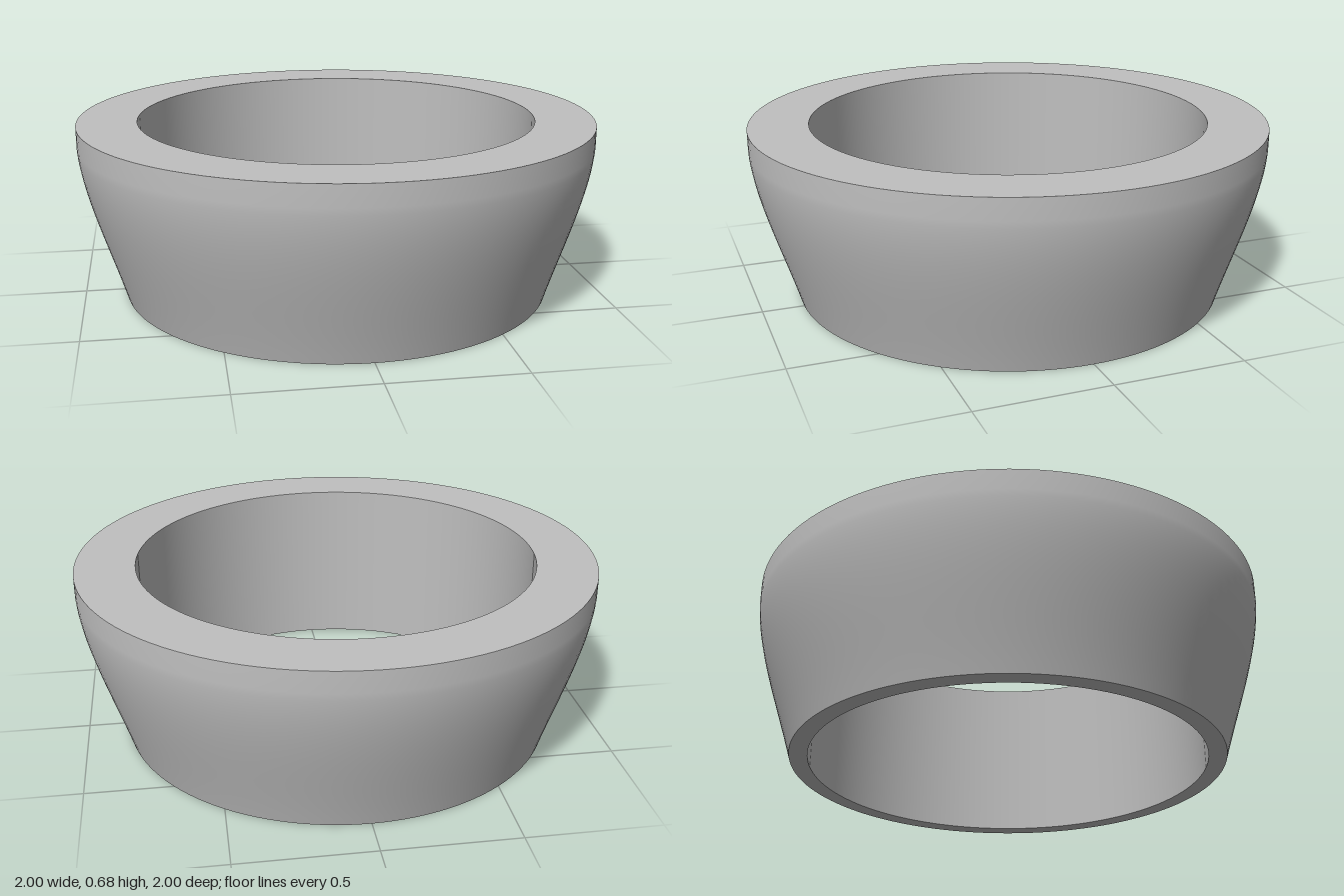
import * as THREE from 'three';

export function createModel() {
  const group = new THREE.Group();
  group.name = 'taperedRing';
  const grey = new THREE.MeshStandardMaterial({ color: 0xc0c0c0 });
  grey.name = 'light grey';

  const height = 0.68, bore = 0.77, foot = 0.84, rim = 1;

  // Each surface is its own lathe, so edges stay sharp and walls smooth
  const addSurface = (name, points) => {
    const mesh = new THREE.Mesh(new THREE.LatheGeometry(points, 128), grey);
    mesh.name = name;
    group.add(mesh);
  };
  const p = (r, y) => new THREE.Vector2(r, y);

  // Outer wall: near-straight flare easing into a vertical band at the rim
  const flare = new THREE.CubicBezierCurve(p(foot, 0), p(0.904, 0.22), p(0.99, 0.43), p(rim, 0.6));
  addSurface('outerWall', [...flare.getPoints(20), p(rim, height)]);
  addSurface('topFace', [p(rim, height), p(bore, height)]);
  addSurface('innerWall', [p(bore, height), p(bore, 0)]);
  addSurface('bottomFace', [p(bore, 0), p(foot, 0)]);

  return group;
}
